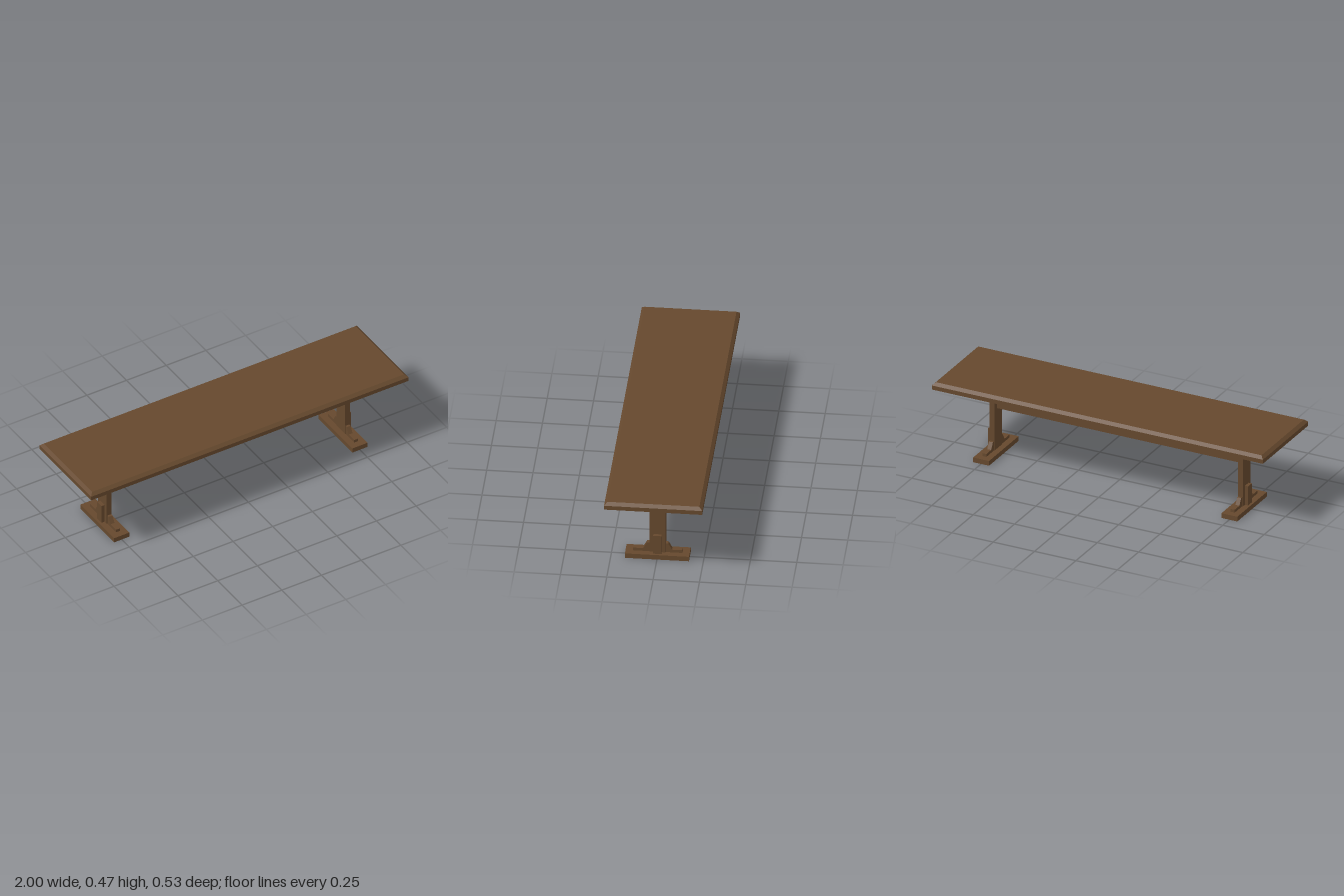
import * as THREE from 'three';

export function createModel() {
  const group = new THREE.Group();
  const wood = new THREE.MeshStandardMaterial({ color: 0x65482d });
  wood.name = 'brown wood';

  const add = (name, geometry, parent) => {
    const mesh = new THREE.Mesh(geometry, wood);
    mesh.name = name;
    parent.add(mesh);
    return mesh;
  };
  // Box given by its minimum and maximum corners
  const box = (name, [x0, y0, z0], [x1, y1, z1], parent) => {
    const g = new THREE.BoxGeometry(x1 - x0, y1 - y0, z1 - z0);
    g.translate((x0 + x1) / 2, (y0 + y1) / 2, (z0 + z1) / 2);
    return add(name, g, parent);
  };

  // Table top: a straight edge with a chamfered upper rim
  box('tabletopEdge', [-1, 0.428, -0.265], [1, 0.452, 0.265], group);
  const rim = new THREE.BoxGeometry(2, 0.016, 0.53);
  const p = rim.attributes.position;
  for (let i = 0; i < p.count; i++) {
    if (p.getY(i) > 0) {
      p.setX(i, Math.sign(p.getX(i)) * 0.983);
      p.setZ(i, Math.sign(p.getZ(i)) * 0.248);
    }
  }
  rim.translate(0, 0.46, 0);
  const flatRim = rim.toNonIndexed();
  flatRim.computeVertexNormals();
  add('tabletopChamfer', flatRim, group);

  // Long rail between the two legs
  box('stretcher', [-0.735, 0.27, -0.018], [0.735, 0.34, 0.018], group);

  // Stepped bracket profile, drawn outwards from the post
  const profile = [[0.044, 0.028], [0.134, 0.028], [0.134, 0.045], [0.078, 0.045], [0.058, 0.082], [0.044, 0.082]];
  const bracketShape = new THREE.Shape(profile.map(([z, y]) => new THREE.Vector2(z, y)));

  for (const side of [-1, 1]) {
    const leg = new THREE.Group();
    leg.name = side > 0 ? 'leftLeg' : 'rightLeg';
    group.add(leg);
    // Parts are built facing +x, then turned for the other end
    box('foot', [0.702, 0, -0.173], [0.798, 0.028, 0.173], leg);
    box('post', [0.735, 0.028, -0.044], [0.766, 0.428, 0.044], leg);
    box('outerBlock', [0.766, 0.028, -0.022], [0.785, 0.141, 0.022], leg);
    for (const end of [-1, 1]) {
      const g = new THREE.ExtrudeGeometry(bracketShape, { depth: 0.024, bevelEnabled: false });
      g.translate(0, 0, -0.012);
      g.rotateY(-end * Math.PI / 2);
      g.translate(0.75, 0, 0);
      add(end > 0 ? 'frontBracket' : 'backBracket', g, leg);
    }
    if (side < 0) leg.rotation.y = Math.PI;
  }
  return group;
}
